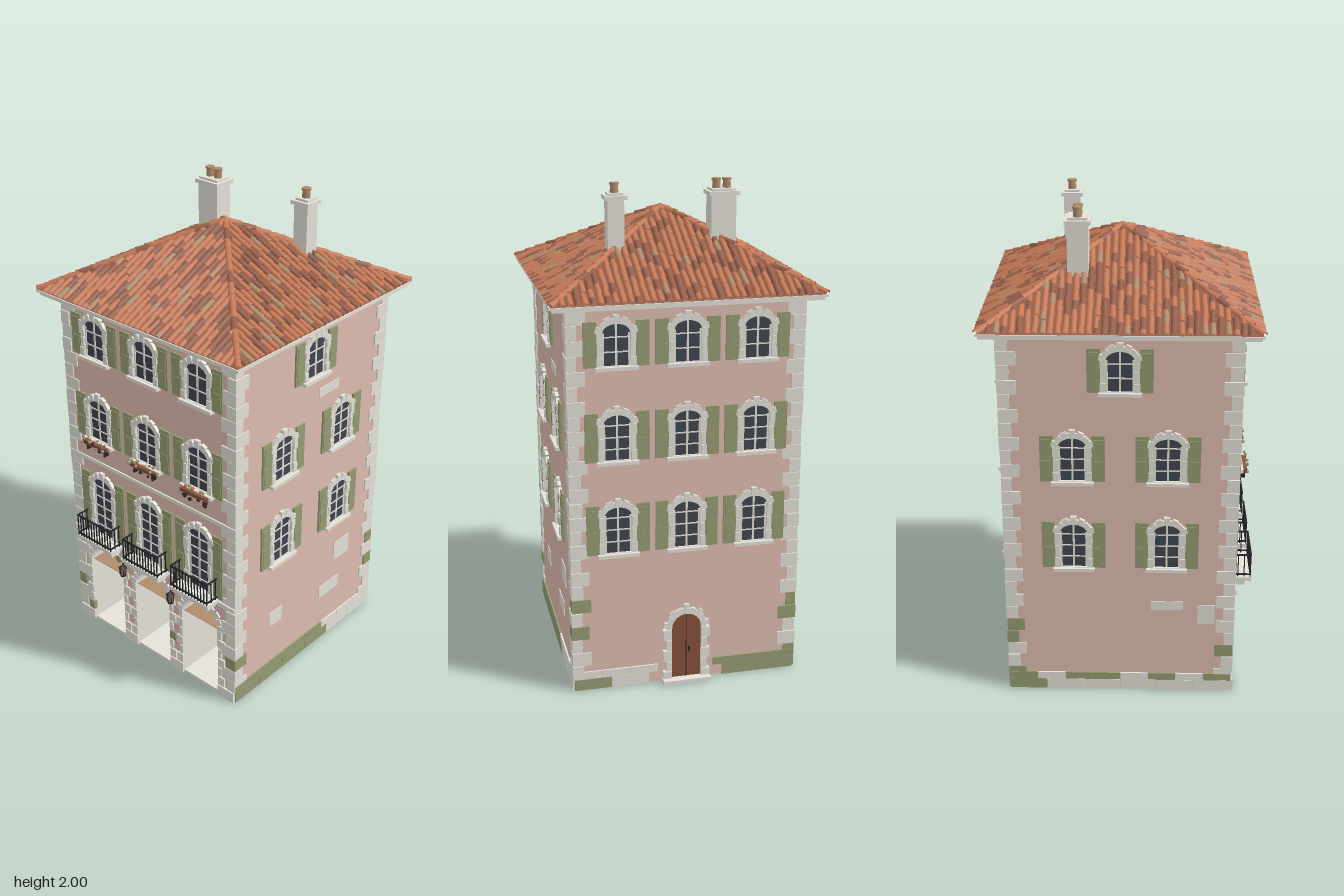
import * as THREE from 'three';
import { mergeGeometries } from 'three/addons/utils/BufferGeometryUtils.js';

const mat = (name, color, side = THREE.FrontSide) => {
  const m = new THREE.MeshStandardMaterial({ color, side });
  m.name = name;
  return m;
};

export function createModel() {
  const model = new THREE.Group();
  model.name = 'townhouse';
  const D = THREE.DoubleSide;
  const plaster = mat('pink plaster', 0xdfbdb0), stone = mat('pale stone', 0xe5e2d9);
  const olive = mat('olive green', 0x969d73), glass = mat('dark glass', 0x404650);
  const iron = mat('black iron', 0x26262a), wood = mat('brown wood', 0x864f3b);
  const tan = mat('tan', 0xb08d6c, D);
  const clay = mat('terracotta', 0xc67a58, D), darkClay = mat('dark terracotta', 0x97604c, D);

  let seed = 7;
  const rnd = () => (seed = (seed * 16807) % 2147483647) / 2147483647;
  const add = (parent, name, geo, m, x = 0, y = 0, z = 0) => {
    const mesh = new THREE.Mesh(geo, m);
    mesh.name = name;
    mesh.position.set(x, y, z);
    parent.add(mesh);
    return mesh;
  };
  const box = (p, name, m, w, h, d, x, y, z) => add(p, name, new THREE.BoxGeometry(w, h, d), m, x, y, z);
  const group = (p, name, x = 0, y = 0, z = 0) => {
    const g = new THREE.Group();
    g.name = name;
    g.position.set(x, y, z);
    p.add(g);
    return g;
  };
  // Arched outline: half width, bottom, spring line, rise
  const arch = (w, y0, spring, rise, Kind = THREE.Shape) => {
    const s = new Kind();
    s.moveTo(-w, y0);
    s.lineTo(w, y0);
    s.lineTo(w, spring);
    s.absellipse(0, spring, w, rise, 0, Math.PI, false, 0);
    s.lineTo(-w, y0);
    return s;
  };
  const extrude = (s, depth) => new THREE.ExtrudeGeometry(s, { depth, bevelEnabled: false, curveSegments: 12 });
  // Wedge stones around an arch
  const voussoirs = (p, w, spring, rise, n, size, z) => {
    for (let i = 0; i < n; i++) {
      const t = Math.PI * (i + 0.5) / n, key = i === (n - 1) / 2;
      const len = size * (key ? 1.6 : i % 2 ? 1 : 1.3);
      const b = box(p, key ? 'keystone' : 'archStone', stone, len, Math.PI * w / n * 0.97, 0.014,
        Math.cos(t) * (w + len / 2), spring + Math.sin(t) * (rise + len / 2), z);
      b.rotation.z = t;
    }
  };
  const H = 0.46, BAYS = [-0.275, 0, 0.275];

  // Main body
  box(model, 'upperBody', plaster, 0.92, 1.1, 0.92, 0, 1.03, 0);
  box(model, 'lowerBody', plaster, 0.92, 0.48, 0.71, 0, 0.242, -0.105);
  box(model, 'underside', stone, 0.9, 0.004, 0.69, 0, 0.002, -0.105);

  // Arcade with three arched bays
  const wall = new THREE.Shape();
  wall.moveTo(-0.455, 0);
  for (const x of BAYS) {
    wall.lineTo(x - 0.1, 0);
    wall.lineTo(x - 0.1, 0.33);
    wall.absellipse(x, 0.33, 0.1, 0.1, Math.PI, 0, true, 0);
    wall.lineTo(x + 0.1, 0);
  }
  wall.lineTo(0.455, 0);
  wall.lineTo(0.455, 0.48);
  wall.lineTo(-0.455, 0.48);
  add(model, 'arcade', extrude(wall, 0.21), [plaster, stone], 0, 0, 0.25);
  for (const s of [-1, 1]) box(model, 'arcadeSide', plaster, 0.005, 0.48, 0.21, s * 0.4575, 0.24, 0.355);

  // Lantern with an iron cap and cage
  const lantern = (p, x, y, z) => {
    const g = group(p, 'lantern', x, y, z);
    add(g, 'lampBody', new THREE.CylinderGeometry(0.015, 0.011, 0.035, 6), clay);
    for (let i = 0; i < 6; i++) {
      const t = (i * Math.PI) / 3;
      box(g, 'lampBar', iron, 0.004, 0.035, 0.004, 0.013 * Math.sin(t), 0, 0.013 * Math.cos(t));
    }
    add(g, 'lampCap', new THREE.ConeGeometry(0.02, 0.018, 6), iron, 0, 0.026, 0);
    add(g, 'lampBase', new THREE.CylinderGeometry(0.013, 0.013, 0.006, 6), iron, 0, -0.02, 0);
    box(g, 'lampArm', iron, 0.005, 0.005, 0.035, 0, 0.036, -0.016);
  };
  for (const x of BAYS) {
    const bay = group(model, 'arcadeBay', x);
    box(bay, 'bayFloor', stone, 0.2, 0.012, 0.21, 0, 0.006, 0.355);
    add(bay, 'bayBackWall', extrude(arch(0.1, 0, 0.33, 0.1), 0.003), stone, 0, 0, 0.25);
    box(bay, 'bayCeiling', tan, 0.199, 0.002, 0.2, 0, 0.33, 0.354);
    box(bay, 'shopDoor', glass, 0.126, 0.175, 0.006, 0, 0.138, 0.255);
    box(bay, 'shopSill', stone, 0.14, 0.04, 0.012, 0, 0.03, 0.257);
    box(bay, 'shopLintel', wood, 0.142, 0.014, 0.02, 0, 0.23, 0.262);
    lantern(bay, 0, 0.267, 0.28);
    voussoirs(bay, 0.1, 0.33, 0.1, 11, 0.024, H);
    for (let i = 0; i < 6; i++) for (const s of [-1, 1]) {
      const w = i % 2 ? 0.018 : 0.034;
      box(bay, 'pierStone', rnd() < 0.08 ? olive : stone, w, 0.043, 0.016, s * (0.1 + w / 2), 0.075 + i * 0.048, H);
    }
  }
  for (const [x, w] of [[-0.418, 0.086], [-0.1375, 0.075], [0.1375, 0.075], [0.418, 0.086]])
    box(model, 'pierBase', stone, w, 0.05, 0.02, x, 0.025, H);
  for (const x of [-0.14, 0.14]) lantern(model, x, 0.4, 0.5);
  box(model, 'mossyArchStone', olive, 0.03, 0.03, 0.016, -0.2, 0.415, H).rotation.z = Math.PI / 4;

  // Window with arched surround, panes and open shutters; y0 sill, y1 crown
  const makeWindow = (p, x, y0, y1) => {
    const g = group(p, 'window', x, 0, H);
    const sp = y1 - 0.04;
    const frame = arch(0.074, y0 - 0.005, sp, 0.056);
    frame.holes.push(arch(0.053, y0 + 0.004, sp, 0.035, THREE.Path));
    add(g, 'surround', extrude(frame, 0.012), stone);
    add(g, 'glass', extrude(arch(0.054, y0, sp, 0.036), 0.003), glass);
    box(g, 'mullion', stone, 0.008, y1 - y0 - 0.008, 0.004, 0, (y0 + y1) / 2, 0.004);
    const n = Math.round((y1 - y0) / 0.05);
    for (let i = 1; i < n; i++) box(g, 'glazingBar', stone, 0.106, 0.005, 0.004, 0, y0 + (y1 - y0) * i / n, 0.004);
    for (const s of [-1, 1]) box(g, 'casement', stone, 0.008, sp - y0, 0.004, s * 0.05, (sp + y0) / 2, 0.004);
    voussoirs(g, 0.055, sp, 0.037, 7, 0.021, 0.008);
    box(g, 'sill', stone, 0.165, 0.014, 0.028, 0, y0 - 0.005, 0.012);
    const h = y1 - y0 + 0.005;
    for (const s of [-1, 1]) {
      box(g, 'shutter', olive, 0.052, h, 0.008, s * 0.1, y0 + h / 2, 0.006);
      for (const t of [0.27, 0.73])
        box(g, 'shutterPanel', olive, 0.038, h * 0.38, 0.003, s * 0.1, y0 + h * t, 0.011);
      for (let i = 0; i < 3; i++) {
        const w = i % 2 ? 0.014 : 0.022;
        box(g, 'jambStone', stone, w, h * 0.2, 0.016, s * (0.054 + w / 2), y0 + h * (0.12 + i * 0.27), 0.008);
      }
    }
  };

  // Four facades, each facing its own +z
  const [front, right, back, left] = ['front', 'right', 'back', 'left'].map((n, k) => {
    const g = group(model, n + 'Facade');
    g.rotation.y = k * Math.PI / 2;
    return g;
  });
  for (const x of BAYS) {
    for (const f of [front, back]) {
      makeWindow(f, x, 1.35, 1.52);
      makeWindow(f, x, 0.975, 1.165);
      makeWindow(f, x, f === front ? 0.5 : 0.59, 0.79);
    }
    // Balcony
    const b = group(front, 'balcony', x, 0, H);
    box(b, 'balconySlab', stone, 0.21, 0.016, 0.075, 0, 0.491, 0.0375);
    for (const s of [-1, 1]) {
      box(b, 'bracket', stone, 0.02, 0.035, 0.05, s * 0.07, 0.466, 0.025);
      for (const y of [0.51, 0.6]) box(b, 'sideRail', iron, 0.005, 0.006, 0.07, s * 0.098, y, 0.036);
      for (const z of [0.02, 0.045]) box(b, 'sideBaluster', iron, 0.004, 0.1, 0.004, s * 0.098, 0.55, z);
    }
    for (const y of [0.51, 0.6]) box(b, 'frontRail', iron, 0.2, 0.006, 0.006, 0, y, 0.071);
    for (let i = 0; i <= 12; i++) box(b, 'baluster', iron, 0.004, 0.105, 0.004, -0.098 + i * 0.196 / 12, 0.551, 0.071);
    // Flower box
    const f = group(front, 'flowerBox', x, 0.975, H + 0.028);
    box(f, 'planter', wood, 0.135, 0.016, 0.024, 0, -0.01, 0);
    for (const s of [-1, 1]) box(f, 'planterBracket', iron, 0.005, 0.04, 0.025, s * 0.05, -0.025, -0.005);
    for (let i = 0; i < 15; i++)
      add(f, 'plant', new THREE.IcosahedronGeometry(0.005 + rnd() * 0.004, 0), [olive, olive, iron, clay][i % 4],
        (i - 7) * 0.01, i % 2 ? 0.004 + rnd() * 0.02 : -rnd() * 0.035, 0.006 + rnd() * 0.01);
  }
  for (const f of [right, left]) {
    makeWindow(f, 0, 1.35, 1.52);
    for (const x of [-0.185, 0.185]) for (const [a, b] of [[0.59, 0.79], [0.975, 1.165]]) makeWindow(f, x, a, b);
  }
  box(front, 'stringCourse', stone, 0.93, 0.02, 0.022, 0, 0.478, H);
  box(front, 'upperString', stone, 0.82, 0.016, 0.012, 0, 0.86, H);

  // Bare stone patches in the plaster
  const patches = (f, list) => list.forEach(([x, y, w, h]) => box(f, 'barePatch', stone, w, h, 0.006, x, y, H));
  patches(right, [[-0.205, 0.3, 0.08, 0.07], [0.24, 0.42, 0.105, 0.09], [0.16, 0.25, 0.135, 0.06], [0.1, 1.26, 0.125, 0.04]]);
  patches(left, [[0.19, 0.41, 0.13, 0.04], [0.35, 0.37, 0.07, 0.09]]);

  // Back door
  const door = group(back, 'backDoor', 0, 0, H);
  const doorFrame = arch(0.082, 0, 0.24, 0.082);
  doorFrame.holes.push(arch(0.06, 0.012, 0.24, 0.06, THREE.Path));
  add(door, 'doorSurround', extrude(doorFrame, 0.018), stone);
  add(door, 'doorLeaf', extrude(arch(0.061, 0, 0.24, 0.061), 0.011), wood);
  box(door, 'doorSplit', iron, 0.003, 0.28, 0.003, 0, 0.15, 0.011);
  box(door, 'handle', iron, 0.006, 0.02, 0.008, 0.012, 0.14, 0.014);
  voussoirs(door, 0.062, 0.24, 0.062, 9, 0.025, 0.012);
  for (let i = 0; i < 5; i++) for (const s of [-1, 1])
    box(door, 'doorStone', stone, i % 2 ? 0.024 : 0.036, 0.043, 0.022, s * (i % 2 ? 0.073 : 0.079), 0.025 + i * 0.047, 0.011);
  box(door, 'step', stone, 0.2, 0.016, 0.045, 0, 0.008, 0.022);

  // Plinth in two courses on sides and back
  for (const f of [right, back, left]) for (const [y, h, n] of [[0.024, 0.047, 6], [0.064, 0.032, 8]])
    for (let i = 0; i < n; i++) {
      const w = 0.92 / n, x = -0.46 + w * (i + 0.5);
      if (f === back && Math.abs(x) < 0.09) continue;
      const mossy = f === right ? i < n * 0.6 : rnd() < 0.5;
      box(f, 'plinthStone', mossy ? olive : stone, w - 0.002, h, 0.014, x, y, H);
    }

  // Corner quoins, long and short in turn
  for (const sx of [-1, 1]) for (const sz of [-1, 1]) for (let i = 0; i < 26; i++) {
    const long = 0.07 + rnd() * 0.008, short = 0.04 + rnd() * 0.012;
    const [a, b] = i % 2 ? [long, short] : [short, long], out = H + 0.004 + rnd() * 0.003;
    const mossy = (sz > 0 && i === 2) || (i < 6 && rnd() < 0.12);
    box(model, 'quoin', mossy ? olive : stone, a, 0.056, b, sx * (out - a / 2), 0.079 + i * 0.0585, sz * (out - b / 2));
  }

  // Cornice and gutter
  box(model, 'cornice', stone, 0.94, 0.012, 0.94, 0, 1.572, 0);
  box(model, 'eavesBoard', stone, 1.04, 0.014, 1.04, 0, 1.584, 0);
  box(model, 'gutter', stone, 1.06, 0.008, 1.06, 0, 1.594, 0);

  // Hipped roof
  const E = 0.525, RISE = 0.272, BASE = 1.598, pitch = Math.atan2(RISE, E), L = Math.hypot(E, RISE);
  const roofBase = new THREE.ConeGeometry(E * Math.SQRT2, RISE, 4, 1).toNonIndexed().rotateY(Math.PI / 4);
  roofBase.computeVertexNormals();
  add(model, 'roofBed', roofBase, darkClay, 0, BASE + RISE / 2, 0);
  const tile = (len, r) => new THREE.CylinderGeometry(r * 0.85, r, len, 6, 1, true, -Math.PI / 2, Math.PI).rotateX(-0.07);
  const sorted = [[], [], []];
  for (let k = 0; k < 4; k++) {
    const place = new THREE.Matrix4().makeRotationY(k * Math.PI / 2)
      .multiply(new THREE.Matrix4().makeTranslation(0, BASE, E))
      .multiply(new THREE.Matrix4().makeRotationX(pitch - Math.PI / 2));
    for (let c = -18; c <= 18; c++) {
      const x = c * 0.0283, top = L * (1 - Math.abs(x) / E), shift = (Math.abs(c) % 2) * 0.028;
      for (let s = 0; s < top - 0.02; s += 0.056) {
        const y = s === 0 ? -0.004 : s - shift + (rnd() - 0.5) * 0.02;
        const len = Math.min(0.068, top - y), pick = rnd();
        sorted[pick < 0.64 ? 0 : pick < 0.93 ? 1 : 2].push(
          tile(len, 0.0125).translate(x + (rnd() - 0.5) * 0.003, y + len / 2, 0.002 + rnd() * 0.003).applyMatrix4(place));
      }
    }
  }
  // Hip ridge tiles
  const apex = new THREE.Vector3(0, BASE + RISE + 0.004, 0);
  for (const sx of [-1, 1]) for (const sz of [-1, 1]) {
    const foot = new THREE.Vector3(sx * E, BASE + 0.004, sz * E), up = apex.clone().sub(foot).normalize();
    const side = up.clone().cross(new THREE.Vector3(0, 1, 0)).normalize();
    const basis = new THREE.Matrix4().makeBasis(side, up, side.clone().cross(up));
    for (let i = 0; i < 13; i++) {
      const p = foot.clone().lerp(apex, (i + 0.5) / 13);
      sorted[i % 4 === 3 ? 1 : 0].push(tile(0.066, 0.014).applyMatrix4(basis).translate(p.x, p.y, p.z));
    }
  }
  [clay, darkClay, tan].forEach((m, i) => add(model, 'roofTiles', mergeGeometries(sorted[i]), m));
  add(model, 'roofCap', new THREE.SphereGeometry(0.016, 10, 6), clay, 0, BASE + RISE, 0);

  // Chimneys with clay pots
  const chimney = (x, z, w, d, pots) => {
    const g = group(model, 'chimney', x, 0, z);
    box(g, 'shaft', stone, w - 0.02, 0.3, d - 0.02, 0, 1.79, 0);
    box(g, 'chimneyCap', stone, w, 0.016, d, 0, 1.945, 0);
    box(g, 'capTop', stone, w - 0.025, 0.01, d - 0.025, 0, 1.957, 0);
    for (const px of pots) {
      add(g, 'pot', new THREE.CylinderGeometry(0.015, 0.017, 0.04, 12), tan, px, 1.979, 0);
      add(g, 'potRim', new THREE.CylinderGeometry(0.019, 0.019, 0.008, 12), tan, px, 1.996, 0);
    }
  };
  chimney(-0.207, -0.165, 0.12, 0.1, [-0.021, 0.021]);
  chimney(0.228, -0.212, 0.085, 0.085, [0]);
  return model;
}
